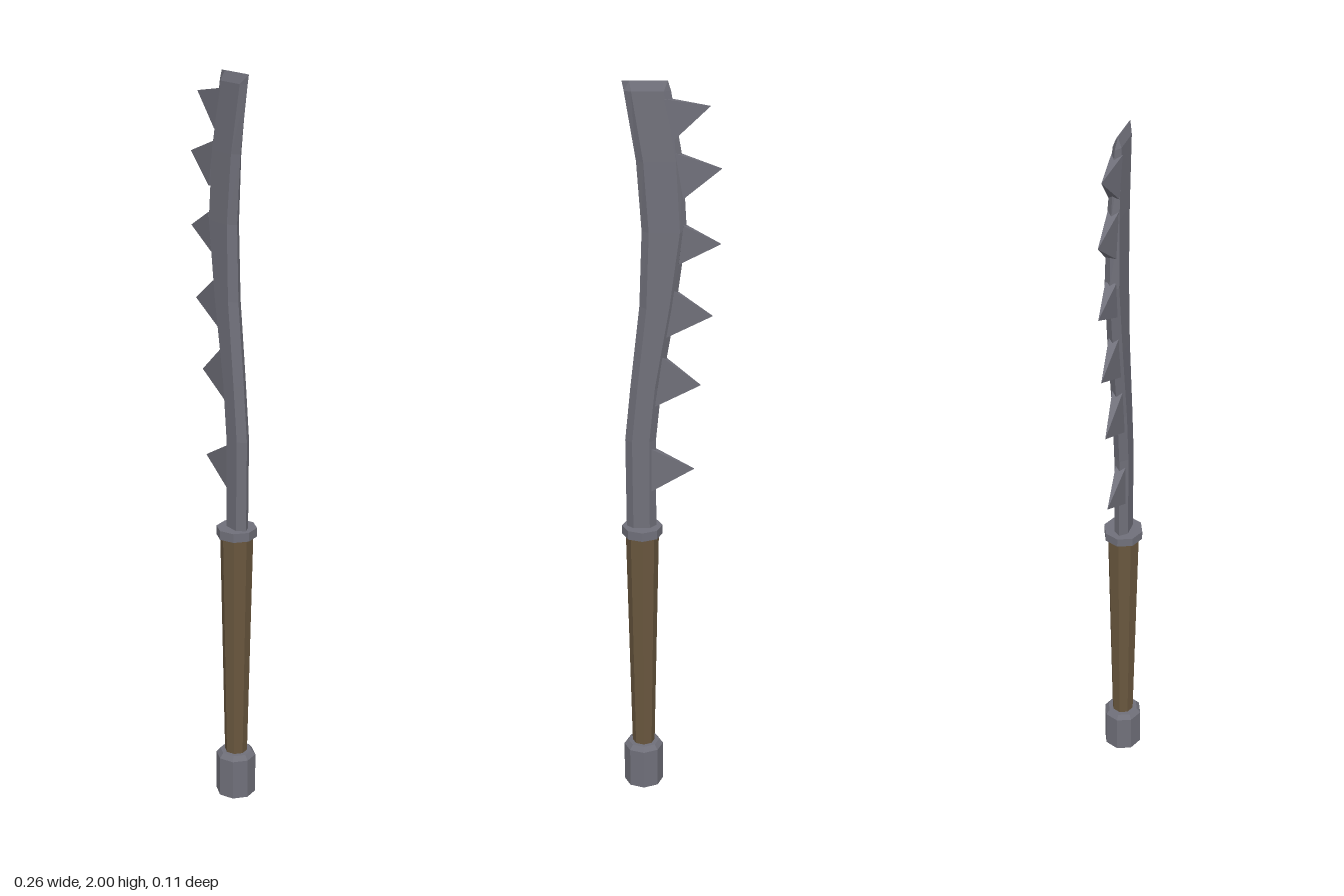
import * as THREE from 'three';

const steel = new THREE.MeshStandardMaterial({ color: 0x70707a, flatShading: true });
steel.name = 'steel';
const wood = new THREE.MeshStandardMaterial({ color: 0x69573e, flatShading: true });
wood.name = 'wood';

const GRIP_X = 0.075;

// Joins equal-sized rings of points into a closed skin with end caps.
// Rings run counter-clockwise when seen from the far end of the loft.
function loft(rings) {
  const n = rings[0].length;
  const index = [];
  rings.slice(1).forEach((_, r) => {
    for (let i = 0; i < n; i++) {
      const a = r * n + i, b = r * n + (i + 1) % n;
      index.push(a, b, b + n, a, b + n, a + n);
    }
  });
  const last = (rings.length - 1) * n;
  for (let i = 1; i < n - 1; i++) {
    index.push(0, i + 1, i, last, last + i, last + i + 1);
  }
  const geo = new THREE.BufferGeometry();
  geo.setAttribute('position', new THREE.Float32BufferAttribute(rings.flat(2), 3));
  geo.setIndex(index);
  const flat = geo.toNonIndexed();
  flat.computeVertexNormals();
  return flat;
}

// Six-sided blade section: back ridge, front face, cutting edge, rear face
function bladeRing([y, back, edge, half, drop = 0]) {
  const bevel = 0.018;
  return [
    [back, y, 0], [back + bevel, y - drop, half], [edge - bevel, y - drop, half],
    [edge, y, 0], [edge - bevel, y - drop, -half], [back + bevel, y - drop, -half],
  ];
}

// Four-sided spike from a flat base on the blade's back to a single point
function toothGeometry([tipX, tipY, upX, upY, lowX, lowY]) {
  const half = 0.014, inset = 0.012;
  const base = [
    [lowX + inset, lowY, -half], [lowX + inset, lowY, half],
    [upX + inset, upY, half], [upX + inset, upY, -half],
  ];
  const tip = [tipX, tipY, 0];
  return loft([base, [tip, tip, tip, tip]]);
}

export function createModel() {
  const model = new THREE.Group();
  model.name = 'serratedSword';
  const add = (name, geometry, material) => {
    const mesh = new THREE.Mesh(geometry, material);
    mesh.name = name;
    model.add(mesh);
    return mesh;
  };
  const octagon = (name, top, bottom, y0, y1, material) => {
    const mesh = add(name, new THREE.CylinderGeometry(top, bottom, y1 - y0, 8), material);
    mesh.position.set(GRIP_X, (y0 + y1) / 2, 0);
  };

  // Hilt
  octagon('pommel', 0.055, 0.055, 0, 0.115, steel);
  octagon('pommelBevel', 0.044, 0.055, 0.115, 0.128, steel);
  octagon('grip', 0.045, 0.031, 0.12, 0.777, wood);
  octagon('guard', 0.055, 0.055, 0.775, 0.8, steel);

  // Blade stations: height, back x, edge x, half thickness, shoulder drop
  const stations = [
    [0.79, 0.037, 0.117, 0.02],
    [1.05, 0.037, 0.119, 0.02],
    [1.2, 0.022, 0.104, 0.02],
    [1.42, -0.016, 0.079, 0.02],
    [1.62, -0.043, 0.072, 0.019],
    [1.8, -0.033, 0.085, 0.016],
    [1.975, -0.003, 0.114, 0.011],
  ];
  const rings = stations.map(bladeRing);
  // The end closes to a thin chisel line
  rings.push([
    [0.005, 2, 0], [0.02, 2, 0.001], [0.1, 2, 0.001],
    [0.119, 2, 0], [0.1, 2, -0.001], [0.02, 2, -0.001],
  ]);
  add('blade', loft(rings), steel);

  // Teeth along the back: point, upper root, lower root
  const teeth = [
    [-0.066, 0.965, 0.038, 1.027, 0.038, 0.905],
    [-0.082, 1.203, 0.008, 1.285, 0.028, 1.148],
    [-0.112, 1.393, -0.014, 1.47, 0.006, 1.335],
    [-0.132, 1.585, -0.046, 1.637, -0.034, 1.535],
    [-0.132, 1.78, -0.025, 1.822, -0.045, 1.705],
    [-0.102, 1.937, 0.004, 1.957, -0.02, 1.853],
  ];
  teeth.forEach((t, i) => add(`tooth${i + 1}`, toothGeometry(t), steel));

  return model;
}
